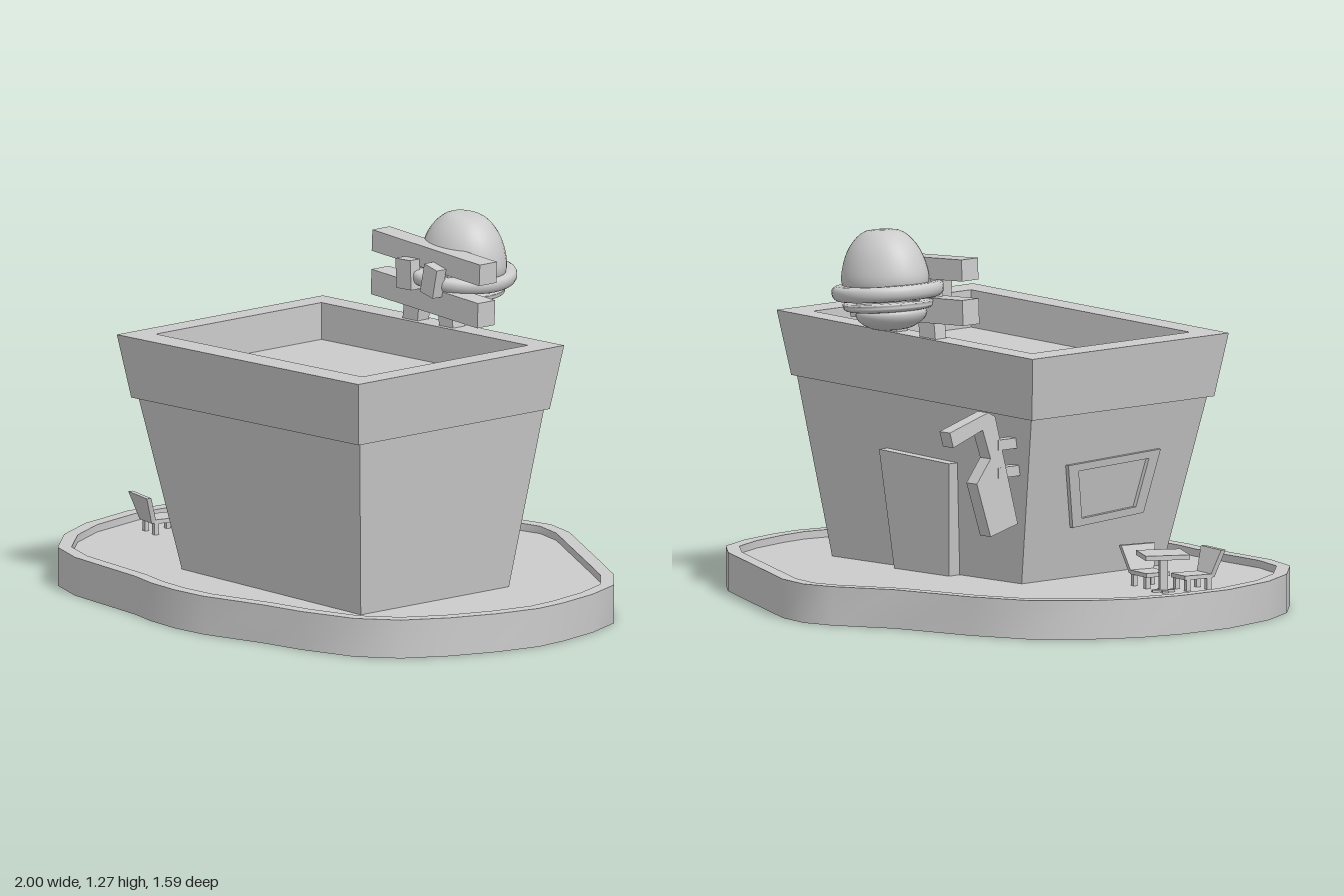
import * as THREE from 'three';
import { toCreasedNormals } from 'three/addons/utils/BufferGeometryUtils.js';

const grey = new THREE.MeshStandardMaterial({ color: 0xcccccc });
const greyDouble = new THREE.MeshStandardMaterial({ color: 0xcccccc, side: THREE.DoubleSide });

function add(parent, name, geometry, pos = [0, 0, 0], rot = [0, 0, 0], material = grey) {
  const mesh = new THREE.Mesh(geometry, material);
  mesh.name = name;
  mesh.position.set(...pos);
  mesh.rotation.set(...rot);
  parent.add(mesh);
  return mesh;
}

const box = (w, h, d) => new THREE.BoxGeometry(w, h, d);

// Joins rings of [x, y, z] points (counter-clockwise from above) into a surface
function loft(rings, { start = true, end = true, crease = 0.1 } = {}) {
  const out = [];
  const n = rings[0].length;
  const centre = (r) => [0, 1, 2].map((k) => r.reduce((s, p) => s + p[k], 0) / n);
  for (let j = 0; j + 1 < rings.length; j++) {
    for (let i = 0; i < n; i++) {
      const k = (i + 1) % n;
      const [a, b, c, d] = [rings[j][i], rings[j][k], rings[j + 1][k], rings[j + 1][i]];
      out.push(...a, ...b, ...c, ...a, ...c, ...d);
    }
  }
  const first = rings[0], last = rings[rings.length - 1];
  for (let i = 0; i < n; i++) {
    const k = (i + 1) % n;
    if (start) out.push(...centre(first), ...first[k], ...first[i]);
    if (end) out.push(...centre(last), ...last[i], ...last[k]);
  }
  const g = new THREE.BufferGeometry();
  g.setAttribute('position', new THREE.Float32BufferAttribute(out, 3));
  return toCreasedNormals(g, crease);
}

// Rectangular section, with its own height on the -x and +x side
const rect = (x0, x1, z0, z1, yL, yR = yL) =>
  [[x0, yL, z0], [x0, yL, z1], [x1, yR, z1], [x1, yR, z0]];

function lathe(points) {
  const curve = new THREE.SplineCurve(points.map(([r, y]) => new THREE.Vector2(r, y)));
  const pts = curve.getPoints(points.length * 3);
  pts.forEach((p) => { p.x = Math.max(p.x, 0); });
  return new THREE.LatheGeometry(pts, 32);
}

// Ground plate: raised rim around a sunken floor, hollow underneath
function buildBase(group) {
  const outline = [
    [0.07, -0.795], [0.2, -0.765], [0.4, -0.66], [0.62, -0.545], [0.78, -0.46], [0.895, -0.36],
    [0.955, -0.215], [0.99, -0.055], [1, 0.06], [0.97, 0.215], [0.915, 0.375], [0.835, 0.52],
    [0.715, 0.62], [0.52, 0.685], [0.365, 0.715], [0.135, 0.78], [0, 0.79], [-0.13, 0.78],
    [-0.24, 0.755], [-0.585, 0.72], [-0.735, 0.665], [-0.87, 0.52], [-0.95, 0.36], [-1, 0.13],
    [-0.99, -0.08], [-0.95, -0.24], [-0.865, -0.385], [-0.73, -0.525], [-0.53, -0.605],
    [-0.24, -0.67], [-0.04, -0.77],
  ].reverse();
  const n = outline.length;
  const inner = outline.map(([x, z], i) => {
    const [ax, az] = outline[(i + n - 1) % n], [bx, bz] = outline[(i + 1) % n];
    const l = Math.hypot(bx - ax, bz - az);
    return [x + ((bz - az) / l) * 0.046, z - ((bx - ax) / l) * 0.046];
  });
  const ring = (pts, y) => pts.map(([x, z]) => [x, y, z]);
  const rings = [ring(outline, 0), ring(outline, 0.13), ring(inner, 0.13), ring(inner, 0.105)];
  add(group, 'groundPlate', loft(rings, { start: false, crease: 0.6 }), undefined, undefined, greyDouble);
}

function buildHouse(group) {
  add(group, 'walls', loft([
    rect(-0.3, 0.603, -0.15, 0.495, 0.095),
    rect(-0.44, 0.685, -0.238, 0.57, 0.685, 0.72),
  ]));
  // Flared lip with the sunken roof
  add(group, 'roofLip', loft([
    rect(-0.452, 0.7, -0.247, 0.588, 0.675, 0.71),
    rect(-0.488, 0.735, -0.28, 0.62, 0.887, 0.927),
    rect(-0.4, 0.645, -0.198, 0.525, 0.89, 0.924),
    rect(-0.4, 0.645, -0.198, 0.525, 0.765, 0.799),
  ]));
  // Door leaning with the back wall
  add(group, 'door', loft([
    rect(-0.005, 0.255, -0.2, -0.13, 0.095),
    rect(-0.055, 0.28, -0.247, -0.18, 0.49, 0.505),
  ]));
  // Window frame leaning with the side wall
  const wallX = (y) => -0.3 - (y - 0.095) * 0.237;
  const corners = [[-0.04, 0.5], [0.03, 0.28], [0.35, 0.3], [0.38, 0.515]];
  const cz = 0.18, cy = 0.4;
  const ring = (scale, off) => corners.map(([z, y]) => {
    const yy = cy + (y - cy) * scale;
    return [wallX(yy) + off, yy, cz + (z - cz) * scale];
  });
  add(group, 'windowFrame', loft([ring(1, 0.02), ring(1, -0.014), ring(0.76, -0.014), ring(0.76, 0.02)],
    { start: false, end: false }), undefined, undefined, greyDouble);
}

// Hooked bracket board held off the back wall by two pegs
function buildHook(group) {
  const hook = new THREE.Group();
  hook.name = 'wallHook';
  const profile = [[0.23, 0.32], [0.333, 0.284], [0.385, 0.464], [0.333, 0.545], [0.363, 0.643],
    [0.474, 0.592], [0.487, 0.643], [0.342, 0.7], [0.316, 0.686]];
  const shape = new THREE.Shape(profile.map(([z, y]) => new THREE.Vector2(z, y)));
  const g = new THREE.ExtrudeGeometry(shape, { depth: 0.05, bevelEnabled: false });
  g.rotateY(Math.PI / 2); // profile depth now runs to -z
  const p = g.attributes.position;
  for (let i = 0; i < p.count; i++) p.setX(i, p.getX(i) - 0.355 - (p.getZ(i) + 0.28) * 0.22);
  g.computeVertexNormals();
  add(hook, 'hookBoard', g);
  for (const y of [0.588, 0.495]) add(hook, 'hookPeg', box(0.035, 0.035, 0.11), [-0.335, y, -0.25]);
  group.add(hook);
}

function buildSign(group) {
  const sign = new THREE.Group();
  sign.name = 'roofSign';
  // Planks, front straps and posts
  add(sign, 'upperPlank', box(0.545, 0.072, 0.075), [0.132, 1.133, -0.233], [0, 0, -0.05]);
  add(sign, 'lowerPlank', box(0.54, 0.085, 0.075), [0.125, 0.993, -0.233], [0, 0, -0.045]);
  add(sign, 'strap', box(0.075, 0.1, 0.042), [0.065, 1.072, -0.176], [0, 0, 0.05]);
  add(sign, 'strap', box(0.065, 0.1, 0.042), [0.192, 1.07, -0.176], [0, 0, -0.22]);
  add(sign, 'post', box(0.075, 0.3, 0.05), [0.04, 0.99, -0.24], [0, 0, -0.12]);
  add(sign, 'post', box(0.07, 0.3, 0.05), [0.2, 0.99, -0.24], [0, 0, 0.15]);

  // Stacked bun behind the planks
  const burger = new THREE.Group();
  burger.name = 'burger';
  burger.position.set(0.13, 1.055, -0.35);
  burger.rotation.z = -0.09;
  const dome = add(burger, 'topBun', lathe([[0, -0.01], [0.12, -0.01], [0.16, 0.03], [0.155, 0.09],
    [0.125, 0.155], [0.07, 0.203], [0, 0.21]]), [0.005, 0, -0.004]);
  dome.scale.z = 0.8;
  add(burger, 'fillingDisc', lathe([[0, -0.022], [0.12, -0.022], [0.172, -0.018], [0.187, 0.008],
    [0.172, 0.03], [0.1, 0.026], [0, 0.026]]));
  add(burger, 'cheeseSlice', box(0.21, 0.01, 0.21), [0, -0.03, 0], [0.04, Math.PI / 4, 0]);
  add(burger, 'patty', lathe([[0, -0.06], [0.11, -0.06], [0.145, -0.052], [0.15, -0.04],
    [0.14, -0.028], [0, -0.026]]));
  add(burger, 'bottomBun', lathe([[0, -0.125], [0.06, -0.12], [0.105, -0.095], [0.118, -0.065],
    [0.09, -0.05], [0, -0.05]]), [-0.01, 0, 0]);
  sign.add(burger);
  group.add(sign);
}

// Chair with its seat facing local +z and its flared back at -z
function buildChair(group, x, z, turn) {
  const chair = new THREE.Group();
  chair.name = 'chair';
  chair.position.set(x, 0, z);
  chair.rotation.y = turn;
  add(chair, 'seat', loft([rect(-0.045, 0.045, -0.045, 0.06, 0.143), rect(-0.045, 0.045, -0.045, 0.06, 0.157)]));
  add(chair, 'backrest', loft([
    rect(-0.043, 0.043, -0.055, -0.037, 0.145),
    rect(-0.065, 0.065, -0.085, -0.068, 0.237),
  ]));
  for (const sx of [-1, 1]) {
    for (const lz of [-0.036, 0.045]) add(chair, 'chairLeg', box(0.016, 0.052, 0.016), [sx * 0.034, 0.12, lz]);
  }
  group.add(chair);
}

function buildTable(group) {
  const table = new THREE.Group();
  table.name = 'table';
  table.position.set(-0.758, 0, 0.06);
  table.rotation.y = -0.54;
  add(table, 'tableTop', box(0.15, 0.016, 0.15), [0, 0.228, 0]);
  add(table, 'tablePost', box(0.026, 0.12, 0.026), [0, 0.165, 0]);
  add(table, 'tableFoot', box(0.075, 0.015, 0.02), [0, 0.105, 0]);
  add(table, 'tableFoot', box(0.02, 0.015, 0.075), [0, 0.105, 0]);
  group.add(table);
  buildChair(group, -0.778, 0.18, Math.PI - 0.22);
  buildChair(group, -0.63, 0.117, -Math.PI / 2 - 0.22);
}

export function createModel() {
  const group = new THREE.Group();
  group.name = 'burgerStand';
  buildBase(group);
  buildHouse(group);
  buildHook(group);
  buildSign(group);
  buildTable(group);
  return group;
}
